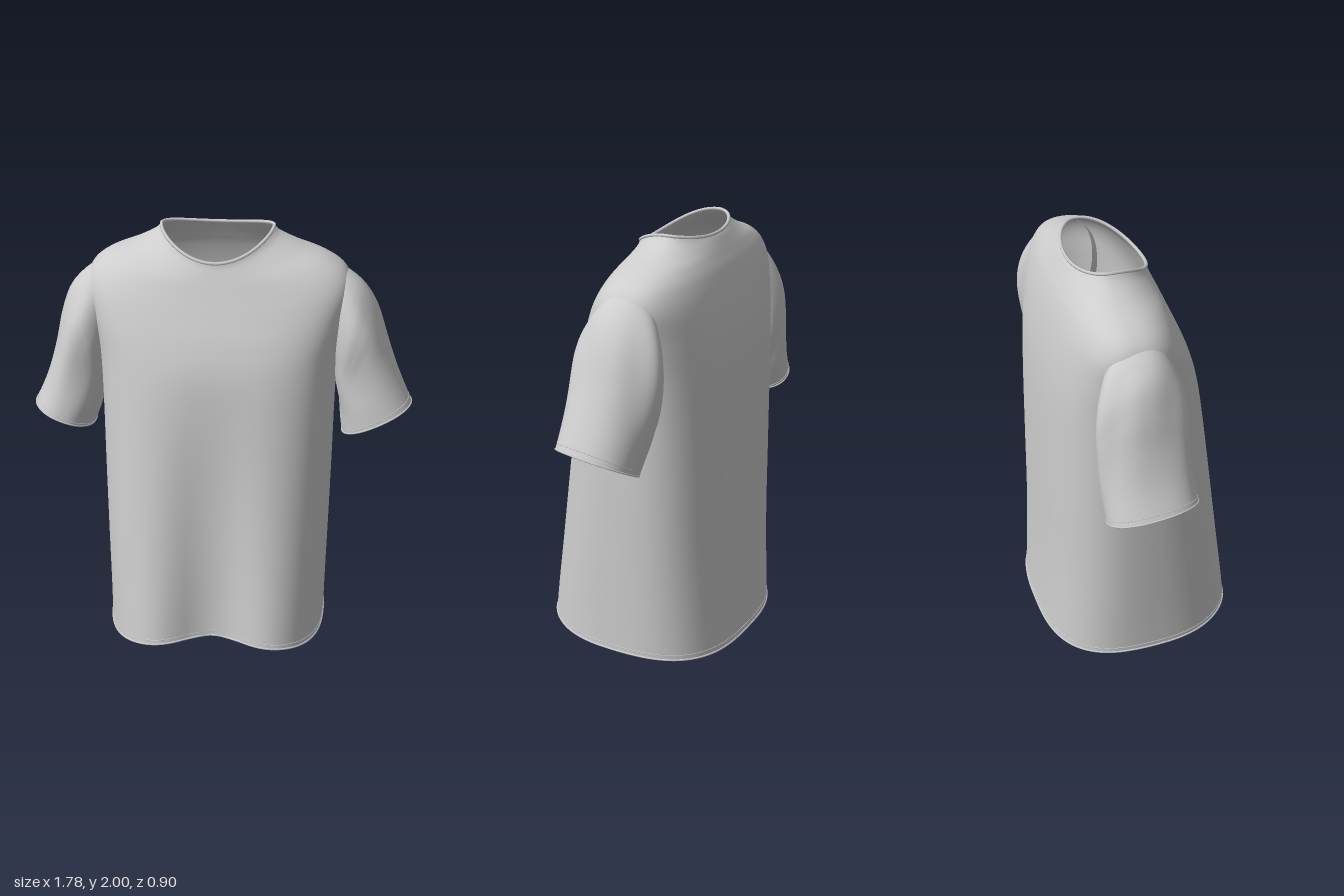
import * as THREE from 'three';

const SEG = 112;
const fabric = new THREE.MeshStandardMaterial({ color: 0xcdcdcd, side: THREE.DoubleSide });
fabric.name = 'light grey fabric';

// Catmull-Rom interpolation of a table of stations, t in 0..1
function sample(rows, t) {
  const f = t * (rows.length - 1);
  const i = Math.min(Math.floor(f), rows.length - 2);
  const k = f - i;
  const row = (j) => rows[Math.max(0, Math.min(rows.length - 1, j))];
  return rows[i].map((b, c) => {
    const a = row(i - 1)[c], d = row(i + 1)[c], e = row(i + 2)[c];
    return b + 0.5 * k * (d - a + k * (2 * a - 5 * b + 4 * d - e + k * (3 * (b - d) + e - a)));
  });
}

const pow = (v, e) => Math.sign(v) * Math.pow(Math.abs(v), e);
const bump = (v, width) => Math.exp(-((v / width) ** 2));

// Smooth open tube skinned over closed rings: point(t, angle) -> Vector3
function loft(name, steps, point, flip) {
  const pos = [], index = [];
  for (let j = 0; j <= steps; j++) {
    for (let i = 0; i < SEG; i++) {
      pos.push(...point(j / steps, (i / SEG) * Math.PI * 2).toArray());
      if (j === steps) continue;
      const n = (i + 1) % SEG;
      const a = j * SEG + i, b = j * SEG + n, c = a + SEG, d = b + SEG;
      if (flip) index.push(a, c, b, b, c, d);
      else index.push(a, b, c, b, d, c);
    }
  }
  const geo = new THREE.BufferGeometry();
  geo.setAttribute('position', new THREE.Float32BufferAttribute(pos, 3));
  geo.setIndex(index);
  geo.computeVertexNormals();
  const mesh = new THREE.Mesh(geo, fabric);
  mesh.name = name;
  return mesh;
}

// Rolled edge or seam running round one ring of a loft
function seam(name, point, t, radius) {
  const pts = [];
  for (let i = 0; i < 64; i++) pts.push(point(t, (i / 64) * Math.PI * 2));
  const curve = new THREE.CatmullRomCurve3(pts, true);
  const mesh = new THREE.Mesh(new THREE.TubeGeometry(curve, 128, radius, 6, true), fabric);
  mesh.name = name;
  return mesh;
}

// Body stations: yFront, ySide, yBack, halfWidth, centreX, zFront, zSide, zBack,
// frontDip, squareness, frontTaper
const BODY = [
  [0.085, 0.028, 0.005, 0.525, -0.015, 0.488, -0.02, -0.446, 0.13, 0.72, 0.12],
  [0.24, 0.2, 0.19, 0.527, -0.015, 0.467, -0.03, -0.435, 0.118, 0.72, 0.12],
  [0.5, 0.48, 0.48, 0.533, -0.015, 0.428, -0.04, -0.424, 0.092, 0.73, 0.11],
  [0.85, 0.85, 0.85, 0.54, -0.015, 0.378, -0.06, -0.419, 0.06, 0.74, 0.1],
  [1.2, 1.2, 1.2, 0.545, -0.015, 0.327, -0.08, -0.413, 0.025, 0.74, 0.07],
  [1.4, 1.42, 1.42, 0.555, -0.015, 0.29, -0.1, -0.403, 0.007, 0.74, 0.04],
  [1.54, 1.6, 1.58, 0.585, -0.015, 0.245, -0.1, -0.385, 0, 0.76, 0.02],
  [1.66, 1.73, 1.72, 0.605, -0.015, 0.195, -0.11, -0.357, 0, 0.78, 0],
  [1.74, 1.81, 1.82, 0.578, -0.016, 0.16, -0.115, -0.327, 0, 0.82, 0],
  [1.8, 1.868, 1.88, 0.5, -0.019, 0.135, -0.12, -0.3, 0, 0.87, 0],
  [1.84, 1.915, 1.92, 0.38, -0.022, 0.118, -0.13, -0.28, 0, 0.93, 0],
  [1.87, 1.96, 1.948, 0.29, -0.025, 0.106, -0.135, -0.265, 0, 0.98, 0],
  [1.89, 1.992, 1.962, 0.256, -0.025, 0.102, -0.135, -0.254, 0, 1, 0],
];

function bodyPoint(t, a) {
  const [yF, yS, yB, w, cx, zF, zS, zB, dip, e, taper] = sample(BODY, t);
  const c = Math.cos(a), s = Math.sin(a);
  const y = (s > 0 ? yF : yB) * s * s + yS * c * c;
  if (s <= 0) {
    return new THREE.Vector3(cx + w * pow(c, e), y, zS + (zB - zS) * Math.pow(-s, e));
  }
  // Front: narrower than the back, with a hanging hollow at the centre
  const x = w * pow(c, e - taper) * (1 - taper * s);
  const z = zS + (zF - zS) * Math.pow(s, e - taper) - dip * bump(x, 0.19);
  return new THREE.Vector3(cx + x, y, z);
}

// Sleeve stations: outer x, outer y, inner x, inner y, zFront, zBack
const LEFT_SLEEVE = [
  [0.5, 1.835, 0.51, 1.42, 0.03, -0.23],
  [0.575, 1.795, 0.52, 1.33, 0.075, -0.28],
  [0.635, 1.745, 0.53, 1.26, 0.1, -0.305],
  [0.685, 1.675, 0.54, 1.2, 0.105, -0.31],
  [0.725, 1.59, 0.548, 1.15, 0.105, -0.3],
  [0.77, 1.46, 0.555, 1.1, 0.108, -0.28],
  [0.82, 1.33, 0.56, 1.06, 0.115, -0.258],
  [0.888, 1.175, 0.568, 1.012, 0.125, -0.237],
];
const RIGHT_SLEEVE = [
  [0.52, 1.835, 0.53, 1.42, 0.03, -0.23],
  [0.6, 1.795, 0.545, 1.32, 0.07, -0.275],
  [0.66, 1.74, 0.555, 1.25, 0.09, -0.3],
  [0.71, 1.665, 0.563, 1.19, 0.093, -0.31],
  [0.75, 1.55, 0.57, 1.14, 0.093, -0.308],
  [0.785, 1.4, 0.58, 1.09, 0.098, -0.305],
  [0.83, 1.25, 0.593, 1.05, 0.105, -0.3],
  [0.888, 1.115, 0.61, 1.003, 0.112, -0.295],
];

function sleevePoint(rows, side) {
  return (t, a) => {
    const [ox, oy, ix, iy, zF, zB] = sample(rows, t);
    // Soft creases that fade out at the shoulder and the cuff
    const crease = 1 + 0.035 * Math.sin(Math.PI * t) ** 2 * Math.sin(5 * a + 4 * t);
    const c = 0.5 * crease * pow(Math.cos(a), 0.9);
    const s = 0.5 * crease * pow(Math.sin(a), 0.9);
    return new THREE.Vector3(
      side * ((ox + ix) / 2 + (ox - ix) * c),
      (oy + iy) / 2 + (oy - iy) * c + 0.05 * s * t,
      (zF + zB) / 2 + (zF - zB) * s
    );
  };
}

export function createModel() {
  const shirt = new THREE.Group();
  shirt.name = 'tShirt';

  // Body with neckband and hem
  shirt.add(loft('body', 96, bodyPoint, true));
  shirt.add(seam('neckband', bodyPoint, 1, 0.008));
  shirt.add(seam('hemEdge', bodyPoint, 0, 0.005));
  shirt.add(seam('hemStitch', bodyPoint, 0.018, 0.002));

  // Sleeves with cuffs
  for (const [label, rows, side] of [['left', LEFT_SLEEVE, 1], ['right', RIGHT_SLEEVE, -1]]) {
    const point = sleevePoint(rows, side);
    shirt.add(loft(label + 'Sleeve', 56, point, side < 0));
    shirt.add(seam(label + 'CuffEdge', point, 1, 0.004));
    shirt.add(seam(label + 'CuffStitch', point, 0.965, 0.002));
  }
  return shirt;
}
